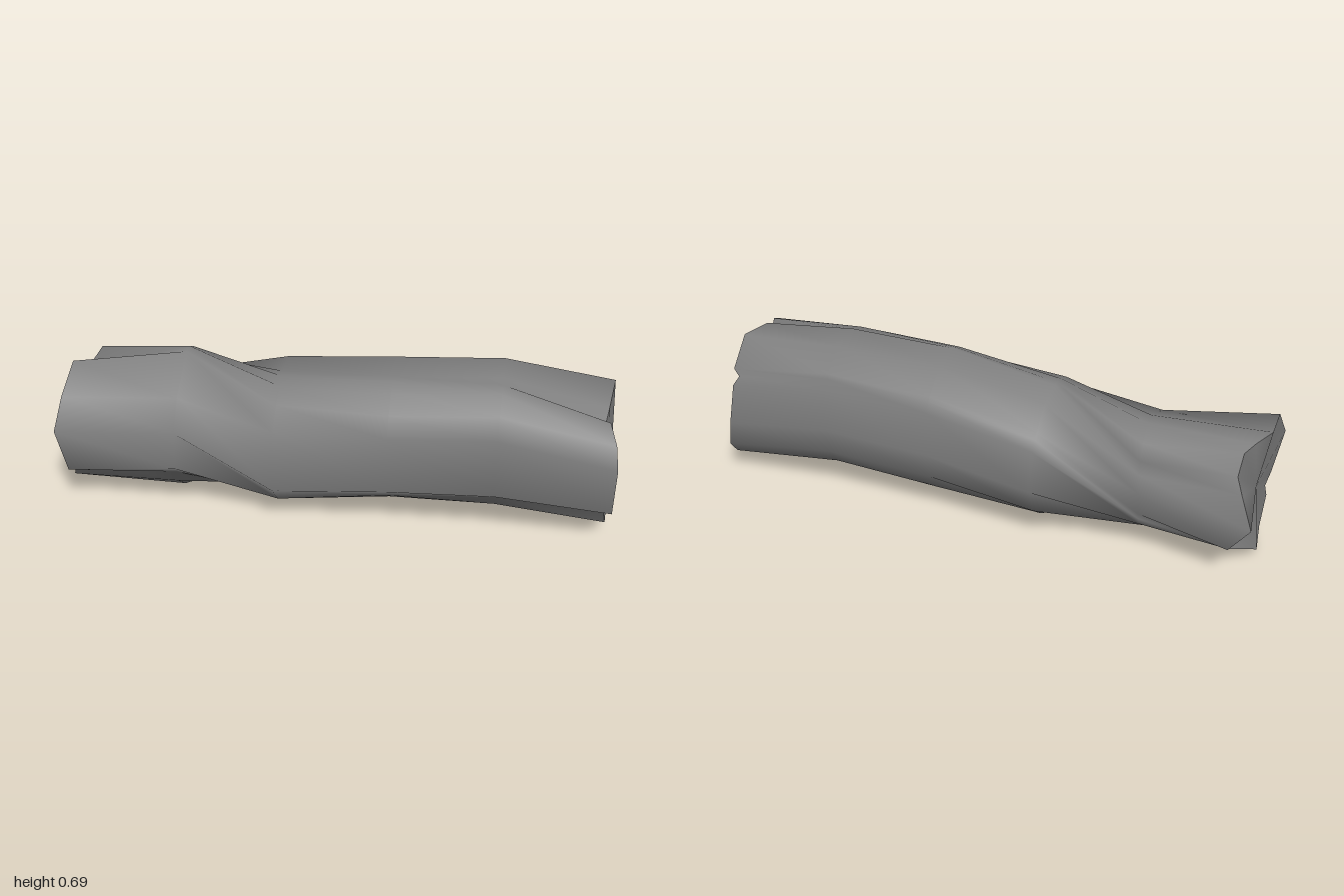
import * as THREE from 'three';

// Notched rims of the two broken ends, clockwise as seen from the front end.
// The back rim starts further round, so the grain twists along the log.
const frontRim = [
  [0.85, 0.65, 0.73], [0.93, 0.54, 0.66], [0.91, 0.49, 0.67], [0.95, 0.48, 0.63],
  [0.985, 0.31, 0.615], [0.99, 0.19, 0.64], [0.95, 0.11, 0.69], [0.8, 0, 0.77],
  [0.74, 0.06, 0.86], [0.72, 0.2, 0.84], [0.65, 0.21, 0.97], [0.62, 0.45, 1],
  [0.63, 0.55, 0.97], [0.67, 0.6, 0.89], [0.71, 0.56, 0.83], [0.72, 0.62, 0.83],
];
const backRim = [
  [-0.59, 0.42, -0.9], [-0.575, 0.32, -1], [-0.54, 0.18, -0.91], [-0.56, 0.175, -0.84],
  [-0.58, 0.13, -0.85], [-0.76, 0.035, -0.81], [-0.83, 0.07, -0.72], [-0.91, 0.15, -0.64],
  [-0.89, 0.21, -0.65], [-0.96, 0.22, -0.59], [-1, 0.42, -0.6], [-0.93, 0.545, -0.64],
  [-0.79, 0.59, -0.79], [-0.72, 0.55, -0.78], [-0.62, 0.575, -0.845], [-0.56, 0.52, -0.9],
];

// Swollen rings between the ends: position along the diagonal, twist from back to front,
// half width, bottom, top, sideways lean of the top, and groove depths by rim index
const rings = [
  { c: -0.46, t: 0.05, w: 0.235, y0: 0.045, y1: 0.625, lean: 0.1, groove: { 0: 0.97, 8: 0.92 } },
  { c: -0.16, t: 0.9, w: 0.32, y0: 0.055, y1: 0.625, lean: 0.04, groove: { 1: 0.95, 2: 0.96 } },
  { c: 0.165, t: 1, w: 0.285, y0: 0.06, y1: 0.685, lean: 0.02, groove: { 8: 0.93, 9: 0.89 } },
  { c: 0.475, t: 1, w: 0.29, y0: 0.095, y1: 0.705, lean: 0.04, groove: { 2: 0.97, 9: 0.87, 14: 0.97 } },
];

const angleOf = ([x, y, z]) => Math.atan2((x - z) * Math.SQRT1_2, y - 0.32);

function ringPoints({ c, t, w, y0, y1, lean, groove }) {
  const h = (y1 - y0) / 2;
  return backRim.map((p, j) => {
    const a0 = angleOf(p);
    const da = angleOf(frontRim[j]) - a0;
    const a = a0 + Math.atan2(Math.sin(da), Math.cos(da)) * t;
    const sin = Math.sin(a), cos = Math.cos(a);
    const r = (groove[j] ?? 1) / Math.hypot(sin / w, cos / h);
    const u = (r * sin + lean * Math.max(0, r * cos / h)) * Math.SQRT1_2;
    return [c + u, (y0 + y1) / 2 + r * cos, c - u];
  });
}

function surface(points, index) {
  const g = new THREE.BufferGeometry();
  g.setAttribute('position', new THREE.Float32BufferAttribute(points.flat(), 3));
  g.setIndex(index);
  g.computeVertexNormals();
  return g;
}

// Skin joining successive loops
function loft(loops) {
  const n = loops[0].length, index = [];
  for (let i = 0; i < loops.length - 1; i++) {
    for (let j = 0; j < n; j++) {
      const k = (j + 1) % n;
      const a = i * n + j, b = i * n + k, c = a + n, d = b + n;
      index.push(a, c, b, b, c, d);
    }
  }
  return surface(loops.flat(), index);
}

// Fan from a centre point to a rim
function cap(rim, centre, flip) {
  const n = rim.length, index = [];
  for (let j = 0; j < n; j++) {
    const k = (j + 1) % n;
    index.push(n, ...(flip ? [k, j] : [j, k]));
  }
  return surface([...rim, centre], index);
}

export function createModel() {
  const group = new THREE.Group();
  group.name = 'log';
  const material = new THREE.MeshStandardMaterial({ color: 0x808080 });
  const add = (name, geometry) => {
    const mesh = new THREE.Mesh(geometry, material);
    mesh.name = name;
    group.add(mesh);
  };
  add('bark', loft([backRim, ...rings.map(ringPoints), frontRim]));
  add('frontEnd', cap(frontRim, [0.8, 0.33, 0.8], true));
  add('backEnd', cap(backRim, [-0.76, 0.32, -0.76], false));
  return group;
}
